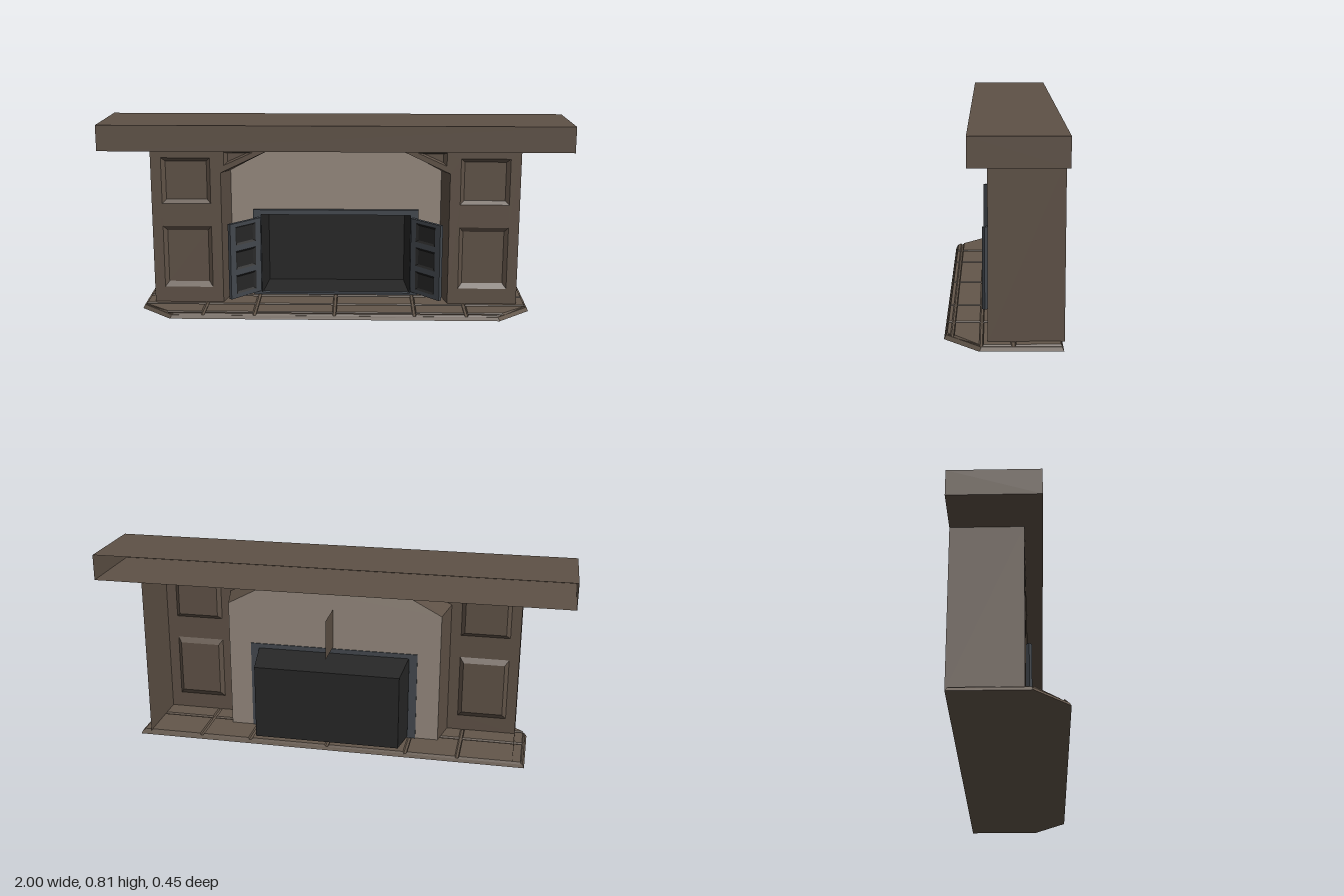
import * as THREE from 'three';

const paint = (color) => new THREE.MeshStandardMaterial({ color, flatShading: true, side: THREE.DoubleSide });
const WOOD = paint(0x5e5146), STONE = paint(0x63564a), PLASTER = paint(0x94887d);
const IRON = paint(0x262626), STEEL = paint(0x43484e);

const add = (parent, name, geometry, material, x = 0, y = 0, z = 0) => {
  const mesh = new THREE.Mesh(geometry, material);
  mesh.name = name;
  mesh.position.set(x, y, z);
  parent.add(mesh);
  return mesh;
};

const rect = (x0, x1, y0, y1) => [[x0, y0], [x1, y0], [x1, y1], [x0, y1]];
const lift = (pts, z) => pts.map(([x, y]) => [x, y, z]);
const toShape = (pts, holes = []) => {
  const shape = new THREE.Shape(pts.map((p) => new THREE.Vector2(...p)));
  shape.holes = holes.map((h) => new THREE.Path(h.map((p) => new THREE.Vector2(...p))));
  return shape;
};

// Joins equal-length 3D loops with quads, optionally closing the ring and capping the last loop
function loft(loops, closed = true, cap = false) {
  const v = [];
  const n = loops[0].length;
  for (let i = 0; i < loops.length - 1; i++) {
    for (let j = 0; j < (closed ? n : n - 1); j++) {
      const k = (j + 1) % n;
      const [a, b, c, d] = [loops[i][j], loops[i][k], loops[i + 1][k], loops[i + 1][j]];
      v.push(...a, ...b, ...c, ...a, ...c, ...d);
    }
  }
  const end = loops[loops.length - 1];
  if (cap) for (let j = 1; j < n - 1; j++) v.push(...end[0], ...end[j], ...end[j + 1]);
  const geometry = new THREE.BufferGeometry();
  geometry.setAttribute('position', new THREE.Float32BufferAttribute(v, 3));
  geometry.computeVertexNormals();
  return geometry;
}

// Bevelled slab lying on y0, outlined in (x, z)
function slab(outline, y0, height, bevel) {
  const cx = outline.reduce((s, p) => s + p[0], 0) / outline.length;
  const cz = outline.reduce((s, p) => s + p[1], 0) / outline.length;
  const top = outline.map(([x, z]) => [x - Math.sign(x - cx) * bevel, y0 + height, z - Math.sign(z - cz) * bevel]);
  return loft([outline.map(([x, z]) => [x, y0, z]), top].map((l) => l.reverse()), true, true);
}

// Sunken panel: sloping border and flat field
function sunkenPanel(pts, z, depth, factor) {
  const cx = pts.reduce((s, p) => s + p[0], 0) / pts.length;
  const cy = pts.reduce((s, p) => s + p[1], 0) / pts.length;
  const inner = pts.map(([x, y]) => [cx + (x - cx) * factor, cy + (y - cy) * factor]);
  return loft([lift(pts, z), lift(inner, z - depth)], true, true);
}

const FRONT = 0.06, WALL = -0.07, BACK = -0.225;

function buildHearth() {
  const hearth = new THREE.Group();
  hearth.name = 'hearth';
  const outline = [[-0.84, -0.22], [0.84, -0.22], [0.84, 0.09], [0.7, 0.225], [-0.7, 0.225], [-0.84, 0.09]];
  add(hearth, 'hearthBed', slab(outline, 0, 0.015, 0.007), STONE);
  const bottom = new THREE.ShapeGeometry(toShape(outline)).rotateX(Math.PI / 2);
  add(hearth, 'hearthUnderside', bottom, STONE);

  // Rows of tiles, the front row cut at its corners
  const limit = (z) => (z <= 0.086 ? 0.828 : 0.828 - (z - 0.086) * 1.04);
  const rows = [[-0.215, -0.04], [-0.03, 0.08], [0.086, 0.19], [0.195, 0.218]];
  const seams = [-2, -0.56, -0.34, 0, 0.34, 0.56, 2];
  rows.forEach(([z0, z1]) => {
    for (let i = 0; i < seams.length - 1; i++) {
      const at = (x, z) => THREE.MathUtils.clamp(x, -limit(z), limit(z));
      const a = seams[i] + 0.004, b = seams[i + 1] - 0.004;
      add(hearth, 'hearthTile', slab([[at(a, z0), z0], [at(b, z0), z0], [at(b, z1), z1], [at(a, z1), z1]], 0.013, 0.009, 0.005), STONE);
    }
  });
  return hearth;
}

function buildSurround() {
  const surround = new THREE.Group();
  surround.name = 'surround';
  const mirror = (half) => [...half, ...half.slice().reverse().map(([x, y]) => [-x, y])];
  const arch = mirror([[0.49, 0.02], [0.49, 0.6], [0.29, 0.695]]);
  const innerArch = mirror([[0.462, 0.02], [0.462, 0.588], [0.28, 0.685]]);

  // Panelled front with arched opening
  const panels = [];
  for (const s of [-1, 1]) {
    const x0 = Math.min(s * 0.535, s * 0.745), x1 = Math.max(s * 0.535, s * 0.745);
    panels.push(rect(x0, x1, 0.465, 0.665), rect(x0, x1, 0.09, 0.365));
    panels.push([[s * 0.35, 0.69], [s * 0.475, 0.69], [s * 0.475, 0.633]]);
  }
  const face = [[-0.79, 0.02], [-0.79, 0.705], [0.79, 0.705], [0.79, 0.02], ...arch];
  add(surround, 'panelledFront', new THREE.ShapeGeometry(toShape(face, panels)), WOOD, 0, 0, FRONT);
  panels.forEach((p) => add(surround, 'sunkenPanel', sunkenPanel(p, FRONT, 0.015, p.length === 3 ? 0.65 : 0.84), WOOD));

  // Side boards
  for (const s of [-1, 1]) {
    const side = new THREE.PlaneGeometry(FRONT - BACK, 0.685).rotateY(s * Math.PI / 2);
    add(surround, 'sideBoard', side, WOOD, s * 0.79, 0.3625, (FRONT + BACK) / 2);
  }

  // Arch reveal, back wall and the rib behind it
  add(surround, 'archReveal', loft([lift(arch, FRONT), lift(innerArch, WALL)], false), WOOD);
  add(surround, 'backWall', new THREE.ShapeGeometry(toShape(innerArch, [rect(-0.33, 0.33, 0.03, 0.39)])), PLASTER, 0, 0, WALL);
  add(surround, 'rearRib', new THREE.PlaneGeometry(0.155, 0.17).rotateY(Math.PI / 2), WOOD, 0, 0.505, -0.147);
  return surround;
}

// Mantel shelf, hollow and open at the back
function buildMantel() {
  const outer = rect(-1, 1, 0.705, 0.815);
  return loft([lift(outer, BACK), lift(outer, 0.13)], true, true);
}

function buildFirebox() {
  const firebox = new THREE.Group();
  firebox.name = 'firebox';
  const mouth = rect(-0.33, 0.33, 0.025, 0.395), rear = rect(-0.31, 0.31, 0.04, 0.36);
  add(firebox, 'fireboxShell', loft([lift(mouth, WALL + 0.01), lift(rear, -0.222)], true, true), IRON);
  const frame = toShape(rect(-0.365, 0.365, 0.022, 0.412), [rect(-0.33, 0.33, 0.03, 0.39)]);
  add(firebox, 'fireboxFrame', new THREE.ExtrudeGeometry(frame, { depth: 0.022, bevelEnabled: false }), STEEL, 0, 0, WALL - 0.004);
  return firebox;
}

// Open door with three sunken panels, hinged at its inner edge
function buildDoor() {
  const door = new THREE.Group();
  door.name = 'door';
  const w = 0.175, t = 0.016;
  const openings = [0, 1, 2].map((i) => rect(0.03, w - 0.03, 0.058 + i * 0.11, 0.142 + i * 0.11));
  const leaf = toShape(rect(0, w, 0.04, 0.378), openings);
  add(door, 'doorFrame', new THREE.ExtrudeGeometry(leaf, { depth: t, bevelEnabled: false }), STEEL, 0, 0, -t / 2);
  openings.forEach((o) => {
    add(door, 'doorPanelFront', sunkenPanel(o, t / 2, 0.006, 0.8), IRON);
    add(door, 'doorPanelBack', sunkenPanel(o, -t / 2, -0.006, 0.8), IRON);
  });
  door.position.set(0.338, 0, -0.05);
  door.rotation.y = -0.82;
  return door;
}

export function createModel() {
  const model = new THREE.Group();
  model.name = 'fireplace';
  model.add(buildHearth(), buildSurround(), buildFirebox());
  add(model, 'mantel', buildMantel(), WOOD);
  for (const s of [1, -1]) {
    const side = new THREE.Group();
    side.name = s > 0 ? 'leftDoor' : 'rightDoor';
    side.add(buildDoor());
    side.scale.x = s;
    model.add(side);
  }
  return model;
}
